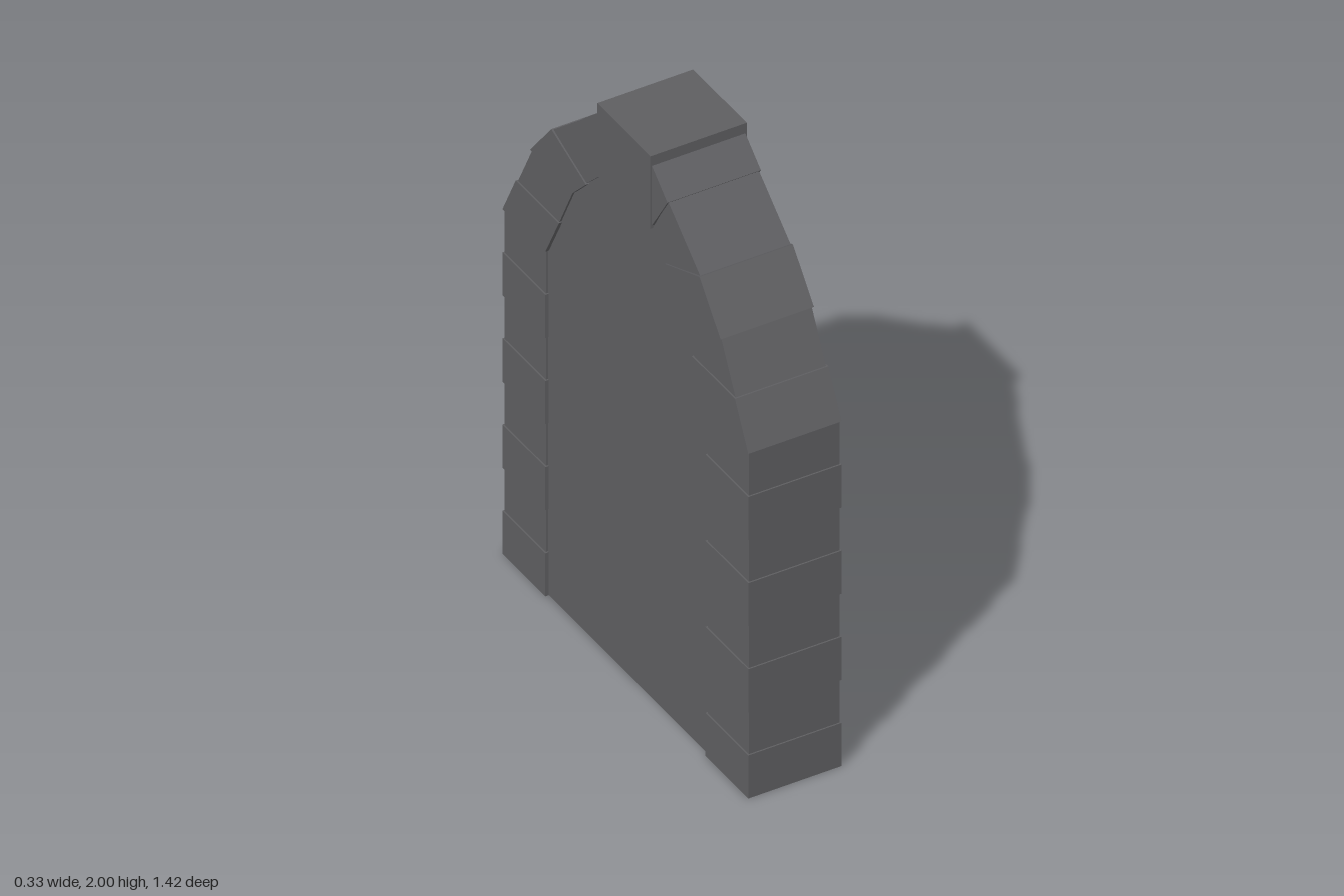
import * as THREE from 'three';

const mat = (name, color) => Object.assign(new THREE.MeshStandardMaterial({ color }), { name });

// Extrudes an outline [u, y] across the wall thickness, from x0 to x1 (u runs along -z)
function slab(points, x0, x1, curveSegments = 8) {
  const shape = points instanceof THREE.Shape ? points
    : new THREE.Shape(points.map(([u, y]) => new THREE.Vector2(u, y)));
  const g = new THREE.ExtrudeGeometry(shape, { depth: x1 - x0, bevelEnabled: false, curveSegments });
  return g.rotateY(Math.PI / 2).translate(x0, 0, 0);
}

// Half width of the opening at a height
function halfWidth(y) {
  if (y <= 1.26) return 0.47;
  if (y <= 1.575) return THREE.MathUtils.mapLinear(y, 1.26, 1.575, 0.47, 0.312);
  return THREE.MathUtils.mapLinear(y, 1.575, 1.735, 0.312, 0.152);
}

export function createModel() {
  const model = new THREE.Group();
  model.name = 'archedDoor';
  const stone = mat('stone', 0x5e5e61);
  const wood = mat('wood', 0x9a5321);
  const metal = mat('metal', 0x555a60);
  const flameOrange = mat('flameOrange', 0xd0680f);
  const add = (parent, name, geometry, material) => {
    const m = new THREE.Mesh(geometry, material);
    m.name = name;
    parent.add(m);
    return m;
  };
  const group = (name) => {
    const g = new THREE.Group();
    g.name = name;
    model.add(g);
    return g;
  };

  // Stone frame: joint lines as [outer u, outer y, inner u, inner y]
  const joints = [];
  for (let i = 0; i < 8; i++) joints.push([0.707, i * 0.1575, 0.469, i * 0.1575]);
  joints.push(
    [0.707, 1.26, 0.469, 1.26], [0.63, 1.413, 0.391, 1.413], [0.547, 1.578, 0.312, 1.573],
    [0.425, 1.73, 0.235, 1.652], [0.24, 1.885, 0.152, 1.733], [0.14, 1.972, 0.11, 1.76]);
  for (const s of [-1, 1]) {
    const side = group(s < 0 ? 'leftFrame' : 'rightFrame');
    for (let i = 0; i < joints.length - 1; i++) {
      const [a, b, c, d] = joints[i], [e, f, g, h] = joints[i + 1];
      const o = i % 2 ? 0 : 0.005; // every other block stands proud
      const outline = [[a + o, b], [e + o, f], [g - o, h], [c - o, d]].map(([u, y]) => [u * s, y]);
      add(side, 'frameBlock', slab(outline, -0.157 - o, 0.153 + o), stone);
    }
  }
  const key = add(model, 'keystone', new THREE.BoxGeometry(0.33, 0.265, 0.31), stone);
  key.position.set(-0.002, 1.8675, 0);

  // Opening outline, shared by the back panel and the door core
  const opening = [[-0.47, 0], [0.47, 0], [0.47, 1.26], [0.312, 1.575], [0.152, 1.735],
    [-0.152, 1.735], [-0.312, 1.575], [-0.47, 1.26]];
  add(model, 'backPanel', slab(opening, -0.15, -0.13), stone);
  add(model, 'doorCore', slab(opening, 0.005, 0.026), wood);

  // Planks: the lower edge is notched so that each seam is a broken groove
  let seed = 7;
  const rand = () => (seed = (seed * 16807) % 2147483647) / 2147483647;
  const planks = group('planks');
  const rows = 22, pitch = 1.735 / rows;
  for (const s of [-1, 1]) {
    for (let i = 0; i < rows; i++) {
      const y0 = i * pitch, y1 = y0 + pitch, w0 = halfWidth(y0), w1 = halfWidth(y1);
      const gap = 0.008;
      const pts = [];
      if ([2, 6, 8, 14, 18].includes(i)) {
        pts.push([0, y0 + gap], [w0, y0 + gap]);
      } else {
        pts.push([0, y0]);
        const n = 3;
        for (let k = 0; k < n; k++) {
          const l = w0 * (k + 0.05 + 0.25 * rand()) / n;
          const r = w0 * (k + 0.8 + 0.15 * rand()) / n;
          pts.push([l, y0], [l + 0.005, y0 + gap], [r - 0.005, y0 + gap], [r, y0]);
        }
        pts.push([w0, y0]);
      }
      pts.push([w1, y1], [0, y1]);
      add(planks, 'plank', slab(pts.map(([u, y]) => [u * s, y]), 0.026, 0.038), wood);
    }
  }

  // Upright bar down the middle
  const bar = add(model, 'centreBar', new THREE.BoxGeometry(0.1, 1.74, 0.032), metal);
  bar.position.set(0.017, 0.87, 0);

  // Round emblem: rounded rim, inner lip, disc and flame
  const emblem = group('emblem');
  emblem.position.set(0.06, 0.79, 0);
  const rim = add(emblem, 'rim', new THREE.TorusGeometry(0.163, 0.032, 14, 48), metal);
  rim.rotation.y = Math.PI / 2;
  const lip = add(emblem, 'innerLip', new THREE.TorusGeometry(0.134, 0.01, 8, 48), metal);
  lip.rotation.y = Math.PI / 2;
  lip.position.x = 0.012;
  const disc = add(emblem, 'disc', new THREE.CylinderGeometry(0.145, 0.145, 0.035, 48), stone);
  disc.rotation.z = Math.PI / 2;
  disc.position.x = -0.006;

  const flame = new THREE.Shape();
  flame.moveTo(0.005, 0.1);
  flame.bezierCurveTo(0.035, 0.07, 0.025, 0.045, 0.05, 0.03);
  flame.bezierCurveTo(0.075, -0.01, 0.08, -0.1, 0.03, -0.125);
  flame.lineTo(-0.03, -0.125);
  flame.bezierCurveTo(-0.075, -0.1, -0.075, -0.04, -0.045, -0.012);
  flame.bezierCurveTo(-0.03, 0.01, -0.025, -0.01, -0.025, 0.03);
  flame.bezierCurveTo(-0.025, 0.06, 0.005, 0.06, 0.005, 0.1);
  add(emblem, 'flame', slab(flame, 0.011, 0.018), flameOrange);

  return model;
}
